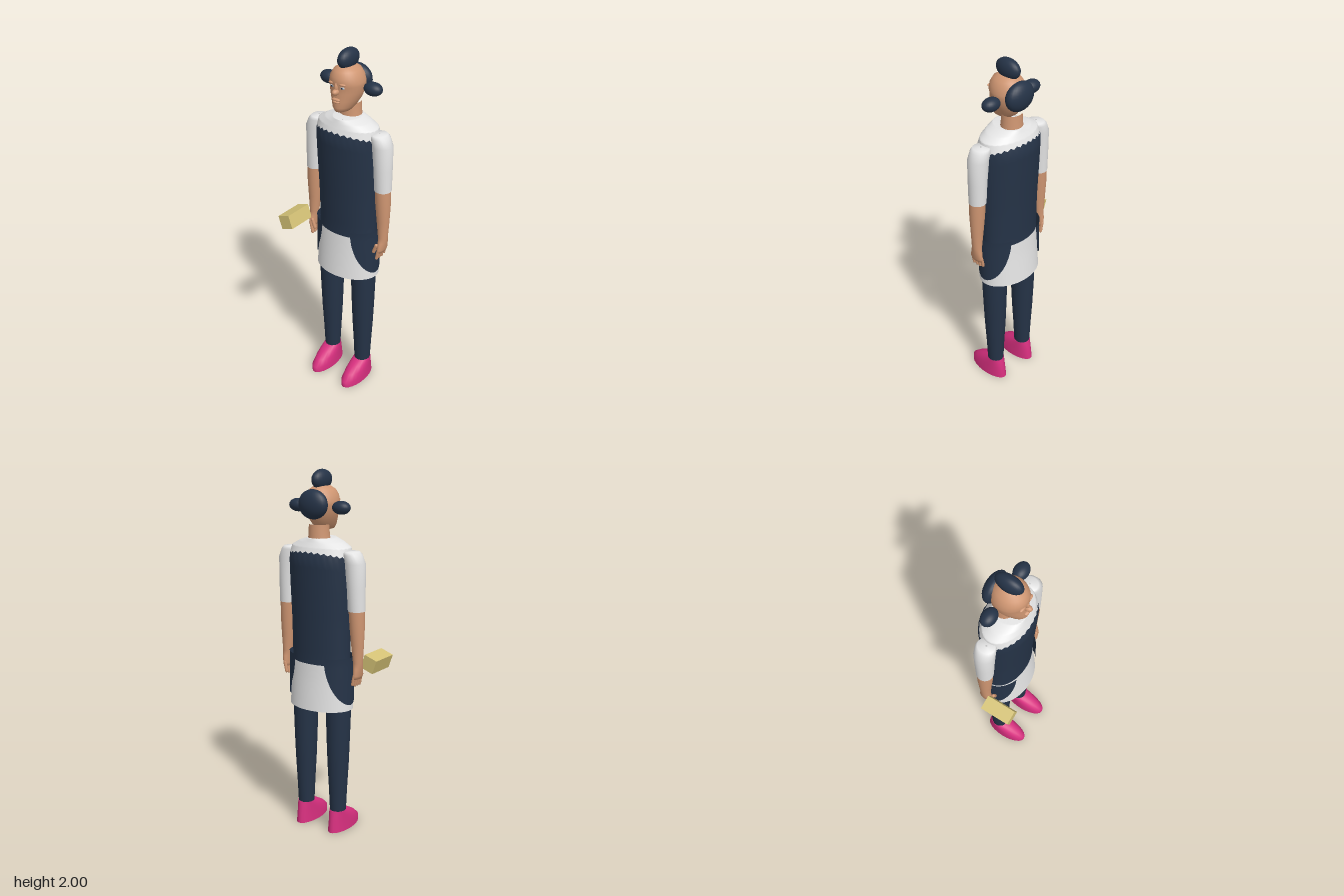
import * as THREE from 'three';

const mat = (name, color, side = THREE.FrontSide) => {
  const m = new THREE.MeshStandardMaterial({ color, side });
  m.name = name;
  return m;
};

// Grid surface from f(u, v): u runs around, v runs from top to bottom
function surface(f, nu, nv, closed) {
  const pos = [], index = [], cols = closed ? nu : nu + 1;
  for (let j = 0; j <= nv; j++)
    for (let i = 0; i < cols; i++) pos.push(...f(i / nu, j / nv));
  for (let j = 0; j < nv; j++)
    for (let i = 0; i < nu; i++) {
      const a = j * cols + i, b = j * cols + ((i + 1) % cols);
      index.push(a, b, a + cols, b, b + cols, a + cols);
    }
  const g = new THREE.BufferGeometry();
  g.setAttribute('position', new THREE.Float32BufferAttribute(pos, 3));
  g.setIndex(index);
  g.computeVertexNormals();
  return g;
}

// Elliptical rings, top to bottom: [y, centreX, radiusX, zFront, zBack]
const loft = (rows, n = 24) => surface((u, v) => {
  const [y, cx, rx, zf, zb] = rows[Math.round(v * (rows.length - 1))];
  const t = u * Math.PI * 2;
  return [cx + rx * Math.cos(t), y, (zf + zb) / 2 + (zf - zb) / 2 * Math.sin(t)];
}, n, rows.length - 1, true);

// Torso outline: [y, radiusX, zFront, zBack]
const BODY = [
  [1.652, 0.01, -0.02, -0.04], [1.65, 0.068, 0.058, -0.115], [1.63, 0.13, 0.066, -0.126],
  [1.605, 0.175, 0.076, -0.142], [1.55, 0.188, 0.097, -0.166], [1.4, 0.184, 0.09, -0.16],
  [1.2, 0.176, 0.079, -0.151], [1.0, 0.174, 0.071, -0.145], [0.9, 0.181, 0.08, -0.151],
  [0.725, 0.19, 0.097, -0.167],
];
function bodyPoint(t, y, grow = 0) {
  let k = 0;
  while (k < BODY.length - 2 && BODY[k + 1][0] > y) k++;
  const a = BODY[k], b = BODY[k + 1], f = (a[0] - y) / (a[0] - b[0]);
  const [, rx, zf, zb] = a.map((value, i) => value + (b[i] - value) * f);
  return [(rx + grow) * Math.cos(t), y, (zf + zb) / 2 + ((zf - zb) / 2 + grow) * Math.sin(t)];
}
const band = (top, bottom, rows) => surface((u, v) => {
  const t = u * Math.PI * 2;
  return bodyPoint(t, top(t) + (bottom(t) - top(t)) * v);
}, 120, rows, true);

export function createModel() {
  const white = mat('white cloth', 0xe4e4e4, THREE.DoubleSide);
  const navy = mat('navy', 0x253347, THREE.DoubleSide);
  const skin = mat('skin', 0xcf9672);
  const pink = mat('pink', 0xd62f7e);
  const tan = mat('tan', 0xd4c276);
  const eyeGrey = mat('eye grey', 0xb9c2ca);

  const model = new THREE.Group();
  const person = new THREE.Group();
  person.name = 'person';
  person.position.x = 0.026;
  model.add(person);
  const add = (name, geo, material, x = 0, y = 0, z = 0) => {
    const m = new THREE.Mesh(geo, material);
    m.name = name;
    m.position.set(x, y, z);
    person.add(m);
    return m;
  };
  const ball = (name, material, x, y, z, rx, ry, rz) => {
    const m = add(name, new THREE.SphereGeometry(1, 24, 16), material, x, y, z);
    m.scale.set(rx, ry, rz);
    return m;
  };

  // Dress: yoke with scalloped edge, dark apron and open skirt
  const edge = t => 1.545 + 0.036 * Math.abs(Math.sin(t)) + 0.005 * Math.cos(30 * t);
  add('yoke', band(() => 1.652, edge, 40), white);
  add('apron', band(edge, () => 0.98, 16), navy);
  add('skirt', band(() => 0.98, () => 0.725, 8), white);

  // Head and neck
  add('neck', loft([[1.72, 0, 0.055, -0.005, -0.105], [1.67, 0, 0.057, 0, -0.108],
    [1.63, 0, 0.062, 0.005, -0.112]]), skin);
  add('head', loft([
    [1.923, 0, 0.004, -0.03, -0.04], [1.915, 0, 0.04, 0.025, -0.075], [1.897, 0, 0.066, 0.053, -0.1],
    [1.87, 0, 0.083, 0.068, -0.115], [1.84, 0, 0.09, 0.073, -0.123], [1.825, 0, 0.09, 0.066, -0.124],
    [1.79, 0, 0.086, 0.067, -0.12], [1.75, 0, 0.071, 0.07, -0.105], [1.715, 0, 0.053, 0.074, -0.08],
    [1.692, 0, 0.036, 0.066, -0.05], [1.683, 0, 0.004, 0.02, 0.01]], 32), skin);
  ball('nose', skin, 0, 1.8, 0.073, 0.016, 0.016, 0.024);
  ball('noseBridge', skin, 0, 1.823, 0.066, 0.009, 0.026, 0.014);
  ball('upperLip', skin, 0, 1.76, 0.07, 0.024, 0.007, 0.012);
  ball('lowerLip', skin, 0, 1.747, 0.069, 0.02, 0.007, 0.012);

  // Hair
  ball('topBun', navy, 0, 1.947, -0.029, 0.039, 0.053, 0.076);
  ball('backBun', navy, 0, 1.825, -0.107, 0.088, 0.077, 0.047);

  for (const s of [1, -1]) {
    const side = s > 0 ? 'left' : 'right';

    // Face and side bun
    ball(side + 'Brow', skin, s * 0.031, 1.841, 0.062, 0.022, 0.007, 0.01);
    ball(side + 'Eye', eyeGrey, s * 0.031, 1.823, 0.06, 0.014, 0.007, 0.005);
    ball(side + 'Pupil', navy, s * 0.031, 1.823, 0.064, 0.005, 0.005, 0.002);
    ball(side + 'Bun', navy, s * 0.138, 1.811, -0.051, 0.052, 0.035, 0.039);

    // Pocket panel, standing off the hip at its top
    const centre = s > 0 ? 0 : Math.PI;
    add(side + 'Pocket', surface((u, v) => {
      const drop = Math.sin(v * Math.PI / 2);
      const spread = 1.06 * Math.sqrt(Math.max(0, 1 - drop * drop));
      return bodyPoint(centre + (u * 2 - 1) * spread, 1.022 - 0.265 * drop, 0.006 + 0.014 * (1 - drop));
    }, 24, 16, false), navy);

    // Arm
    add(side + 'Sleeve', loft([
      [1.593, s * 0.195, 0.004, -0.03, -0.04], [1.59, s * 0.195, 0.04, 0.01, -0.082],
      [1.575, s * 0.2, 0.05, 0.018, -0.09], [1.53, s * 0.215, 0.055, 0.02, -0.09],
      [1.4, s * 0.222, 0.049, 0.016, -0.085], [1.28, s * 0.225, 0.046, 0.012, -0.08]]), white);
    add(side + 'Forearm', loft([
      [1.3, s * 0.225, 0.043, 0.009, -0.077], [1.2, s * 0.229, 0.041, 0.008, -0.074],
      [1.1, s * 0.232, 0.035, 0, -0.066], [1.0, s * 0.235, 0.026, -0.004, -0.06],
      [0.97, s * 0.236, 0.022, 0.004, -0.066], [0.93, s * 0.234, 0.019, 0.014, -0.07],
      [0.912, s * 0.232, 0.014, 0.01, -0.068], [0.908, s * 0.231, 0.002, -0.02, -0.03]]), skin);
    for (let i = 0; i < 4; i++) {
      const finger = add(side + 'Finger', new THREE.CapsuleGeometry(0.009, 0.05, 3, 8), skin,
        s * 0.227, 0.9 + (i === 3 ? 0.008 : 0), 0.004 - i * 0.022);
      finger.rotation.z = -s * 0.2;
    }
    const thumb = add(side + 'Thumb', new THREE.CapsuleGeometry(0.01, 0.045, 3, 8), skin, s * 0.212, 0.935, 0.006);
    thumb.rotation.z = -s * 0.35;

    // Leg and shoe
    add(side + 'Leg', loft([
      [0.96, s * 0.1, 0.072, 0.045, -0.115], [0.72, s * 0.11, 0.069, 0.04, -0.104],
      [0.55, s * 0.11, 0.064, 0.034, -0.1], [0.4, s * 0.11, 0.059, 0.027, -0.094],
      [0.25, s * 0.11, 0.051, 0.018, -0.086], [0.1, s * 0.11, 0.044, 0.012, -0.08]]), navy);
    add(side + 'Shoe', loft([
      [0.122, s * 0.11, 0.002, -0.03, -0.04], [0.122, s * 0.11, 0.046, 0.012, -0.085],
      [0.122, s * 0.11, 0.046, 0.012, -0.085], [0.1, s * 0.11, 0.05, 0.06, -0.092],
      [0.07, s * 0.11, 0.053, 0.11, -0.099], [0.035, s * 0.11, 0.055, 0.148, -0.105],
      [0, s * 0.11, 0.056, 0.148, -0.11], [0, s * 0.11, 0.056, 0.148, -0.11],
      [0, s * 0.11, 0.002, 0.03, 0.02]]), pink);
  }

  // Block held beside the right hand
  const block = new THREE.Mesh(new THREE.BoxGeometry(0.078, 0.078, 0.167), tan);
  block.name = 'block';
  block.position.set(-0.255, 0.99, 0.083);
  block.rotation.z = 0.34;
  model.add(block);

  return model;
}
